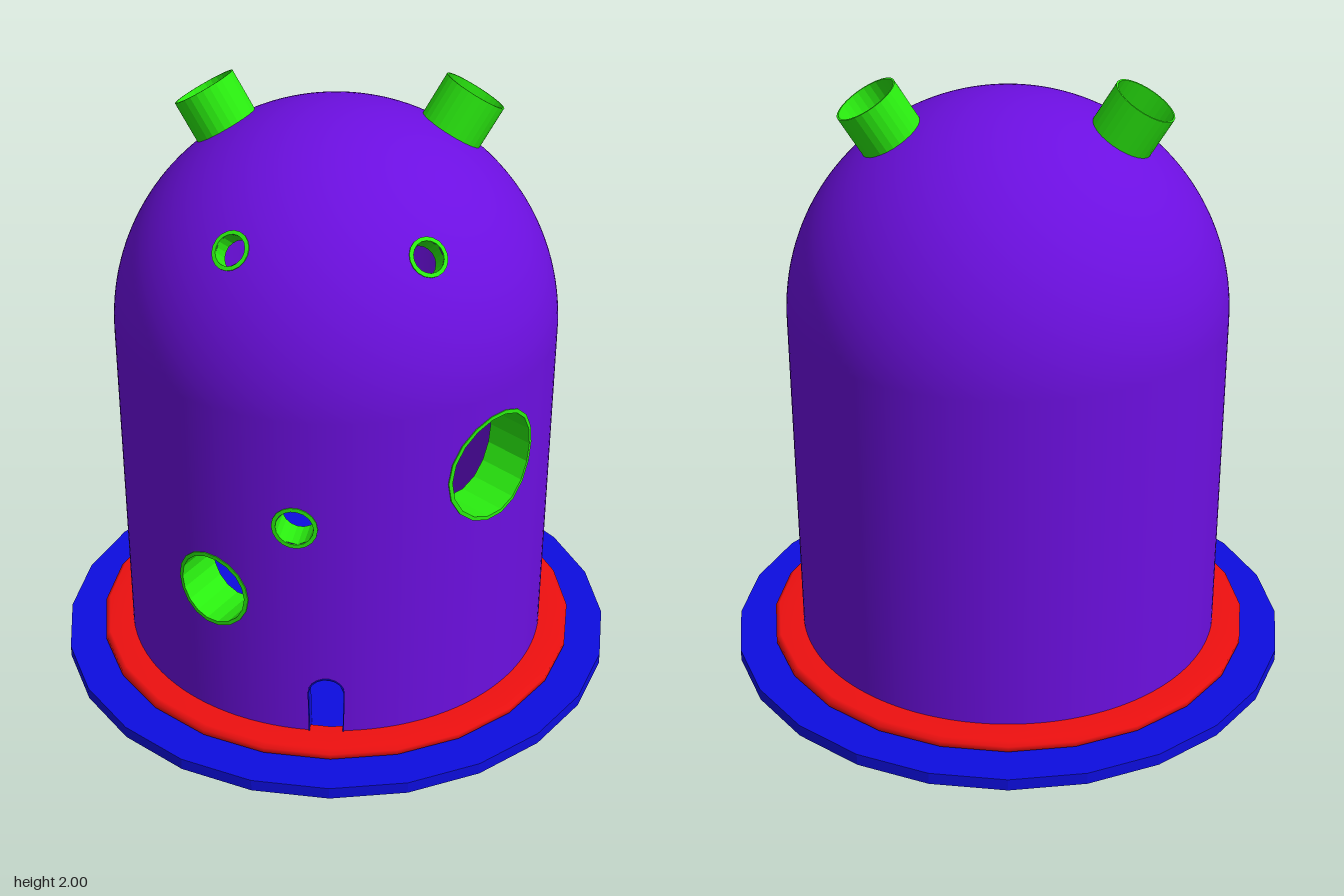
import * as THREE from 'three';

const R = 0.72;                                   // wall and dome radius
const DOME = new THREE.Vector3(0, 1.215, 0);      // centre of the dome
const V = (x, y, z) => new THREE.Vector3(x, y, z);
const mat = (color, extra = {}) => new THREE.MeshStandardMaterial({ color, side: THREE.DoubleSide, ...extra });
const purple = mat(0x6c0fe0), green = mat(0x2aee10, { flatShading: true });
const red = mat(0xee1010), blue = mat(0x0d0de0, { flatShading: true });

// Outward direction and distance from the axis (wall) or dome centre (dome)
const outward = (p) => (p.y > DOME.y ? p.clone().sub(DOME) : V(p.x, 0, p.z));

// Slide a point along direction n until it lies at radius rad
function slide(p, n, rad) {
  for (let i = 0; i < 12; i++) p.addScaledVector(n, rad - outward(p).length());
  return p;
}

// An opening: round, or stretched downward by `drop` to make an arched doorway
function opening(name, x, y, z, r, depth, material = green, drop = 0) {
  const c = V(x, y, z), n = outward(c).normalize();
  const e1 = V(0, 1, 0).cross(n).normalize(), e2 = n.clone().cross(e1);
  return { name, c: slide(c, n, R), n, e1, e2, r, depth, material, drop };
}

const openings = [
  opening('largeWindow', 0.53, 0.96, 0.44, 0.175, 0.16),
  opening('mediumWindow', -0.31, 0.555, 0.65, 0.12, 0.16),
  opening('smallWindow', -0.035, 0.85, 0.72, 0.06, 0.1),
  opening('rightUpperWindow', -0.24, 1.65, 0.5, 0.05, 0.055),
  opening('leftUpperWindow', 0.325, 1.645, 0.46, 0.05, 0.055),
  opening('doorway', 0.06, 0.23, 0.717, 0.056, 0.1, blue, 0.25),
];

// Domed wall: a grid whose points inside an opening are pushed out to its edge
function wallGeometry() {
  const cols = 160, wallRows = 50, domeRows = 44, rows = wallRows + domeRows;
  const pos = [], nor = [], inside = [], idx = [];
  for (let j = 0; j <= rows; j++) {
    const t = Math.max(0, (j - wallRows) / domeRows) * Math.PI / 2;
    const y = j <= wallRows ? 0.04 + (DOME.y - 0.04) * j / wallRows : DOME.y + R * Math.sin(t);
    for (let i = 0; i <= cols; i++) {
      const a = i / cols * Math.PI * 2 + Math.PI, q = R * Math.cos(t);
      let p = V(q * Math.sin(a), y, q * Math.cos(a)), hit = -1;
      openings.forEach((o, k) => {
        const d = p.clone().sub(o.c);
        if (d.dot(o.n) < -0.3) return;
        const u = d.dot(o.e1), v = d.dot(o.e2), base = Math.min(0, Math.max(-o.drop, v));
        const len = Math.hypot(u, v - base);
        if (len >= o.r) return;
        hit = k;
        const s = len > 1e-6 ? o.r / len : 0;
        p = slide(o.c.clone().addScaledVector(o.e1, u * s || (s ? 0 : o.r))
          .addScaledVector(o.e2, base + (v - base) * s), o.n, R);
      });
      inside.push(hit);
      pos.push(p.x, p.y, p.z);
      nor.push(...outward(p).normalize().toArray());
    }
  }
  const tri = (a, b, c) => {
    if (inside[a] < 0 || inside[b] < 0 || inside[c] < 0) idx.push(a, b, c);
  };
  for (let j = 0; j < rows; j++) {
    for (let i = 0; i < cols; i++) {
      const a = j * (cols + 1) + i, b = a + 1, c = b + cols + 1, d = a + cols + 1;
      tri(a, b, c);
      if (j < rows) tri(a, c, d);
    }
  }
  const g = new THREE.BufferGeometry();
  g.setAttribute('position', new THREE.Float32BufferAttribute(pos, 3));
  g.setAttribute('normal', new THREE.Float32BufferAttribute(nor, 3));
  g.setIndex(idx);
  return g;
}

// Lining: a narrow lip on the wall, then a sleeve running inward
function liningGeometry(o) {
  const sides = 18, pos = [], idx = [];
  const lip = o.drop ? 0.003 : 0.012;
  const loops = [[o.r + lip, R + 0.001], [o.r + lip, R + 0.004], [o.r - 0.001, R + 0.004], [o.r - 0.001, R]];
  loops.forEach(([r, rad], k) => {
    for (let i = 0; i < sides; i++) {
      const t = i / sides * Math.PI * 2, s = Math.sin(t);
      const p = o.c.clone().addScaledVector(o.e1, r * Math.cos(t))
        .addScaledVector(o.e2, r * s - (s < -1e-6 ? o.drop : 0));
      slide(p, o.n, rad);
      if (k === 3) p.addScaledVector(o.n, -o.depth);
      pos.push(p.x, Math.max(p.y, 0.02), p.z);
      if (k < 3) {
        const a = k * sides + i, b = k * sides + (i + 1) % sides;
        idx.push(a, b, b + sides, a, b + sides, a + sides);
      }
    }
  });
  const g = new THREE.BufferGeometry();
  g.setAttribute('position', new THREE.Float32BufferAttribute(pos, 3));
  g.setIndex(idx);
  g.computeVertexNormals();
  return g;
}

// Chimney: an open cup standing square on the dome
function chimney(name, x, y, z) {
  const r = 0.105, w = 0.006, top = V(x, y, z);
  const axis = top.clone().sub(DOME).normalize();
  const profile = [[0, -0.115], [r - w, -0.115], [r - w, 0], [r, 0], [r, -0.17]]
    .map(([a, b]) => new THREE.Vector2(a, b));
  const mesh = new THREE.Mesh(new THREE.LatheGeometry(profile.reverse(), 28), green);
  mesh.name = name;
  mesh.position.copy(top);
  mesh.quaternion.setFromUnitVectors(V(0, 1, 0), axis);
  return mesh;
}

export function createModel() {
  const model = new THREE.Group();
  model.name = 'domedHouse';
  const add = (name, geometry, material) => {
    const mesh = new THREE.Mesh(geometry, material);
    mesh.name = name;
    model.add(mesh);
    return mesh;
  };

  // Round base plate and the raised ring around the wall
  const turn = THREE.MathUtils.degToRad(6);
  const plate = add('basePlate', new THREE.CylinderGeometry(0.948, 0.948, 0.04, 24), blue);
  plate.position.y = 0.02;
  plate.rotation.y = turn;
  const ringProfile = [[0.7, 0.03], [0.81, 0.04], [0.823, 0.05], [0.823, 0.068], [0.808, 0.08], [0.7, 0.08]]
    .map(([a, b]) => new THREE.Vector2(a, b));
  add('baseRing', new THREE.LatheGeometry(ringProfile, 24), red).rotation.y = turn;

  add('domedWall', wallGeometry(), purple);
  openings.forEach((o) => add(o.name, liningGeometry(o), o.material));

  model.add(chimney('rightChimney', -0.43, 1.945, -0.085));
  model.add(chimney('leftChimney', 0.42, 1.945, -0.155));
  return model;
}
